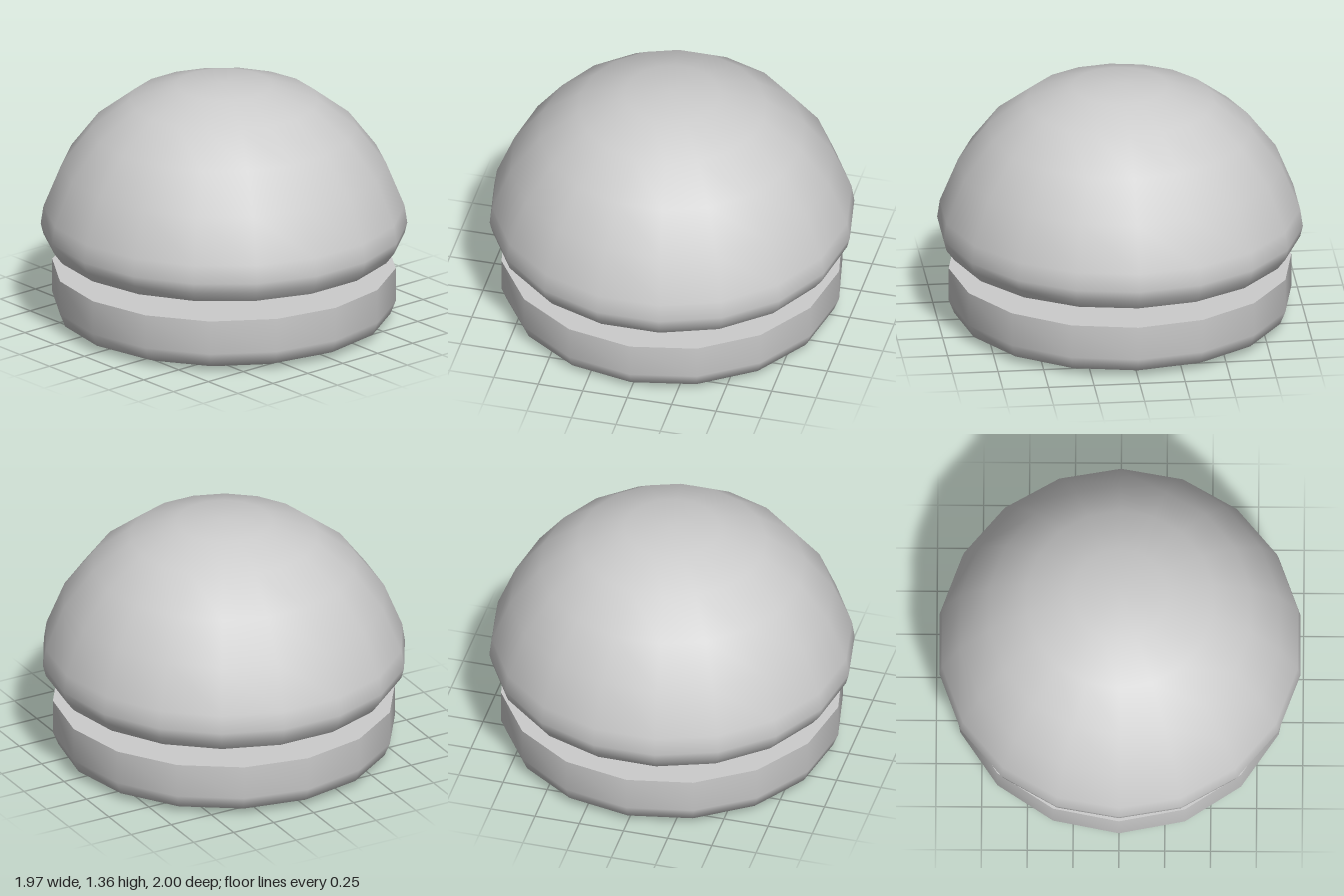
import * as THREE from 'three';
import { mergeVertices } from 'three/addons/utils/BufferGeometryUtils.js';

// Smoothly shaded surface of revolution; profile runs outward-facing, bottom to top
function turned(name, profile, sides, material) {
  const points = profile.map(([r, y]) => new THREE.Vector2(r, y));
  let geometry = new THREE.LatheGeometry(points, sides);
  geometry.deleteAttribute('uv');
  geometry.deleteAttribute('normal');
  geometry = mergeVertices(geometry, 1e-4);
  geometry.computeVertexNormals();
  const mesh = new THREE.Mesh(geometry, material);
  mesh.name = name;
  return mesh;
}

export function createModel() {
  const bread = new THREE.MeshStandardMaterial({ color: 0xcccccc });
  bread.name = 'light grey bread';

  // Lower bun: rounded base with a flat cut face on top
  const lowerBun = new THREE.Group();
  lowerBun.name = 'lowerBun';
  lowerBun.add(
    turned('lowerBunCrust', [[0, 0], [0.82, 0.003], [0.91, 0.04], [0.94, 0.115], [0.94, 0.305]], 16, bread),
    turned('lowerBunCutFace', [[0.94, 0.305], [0, 0.305]], 16, bread)
  );

  // Upper bun: dome with a flat cut face underneath
  const upperBun = new THREE.Group();
  upperBun.name = 'upperBun';
  upperBun.add(
    turned('upperBunCutFace', [[0, 0.42], [0.94, 0.42]], 18, bread),
    turned('upperBunDome', [
      [0.94, 0.42], [0.985, 0.48], [1, 0.54], [0.985, 0.64], [0.885, 0.885],
      [0.725, 1.095], [0.515, 1.257], [0.262, 1.342], [0, 1.36]
    ], 18, bread)
  );

  const model = new THREE.Group();
  model.name = 'bun';
  model.add(lowerBun, upperBun);
  return model;
}
